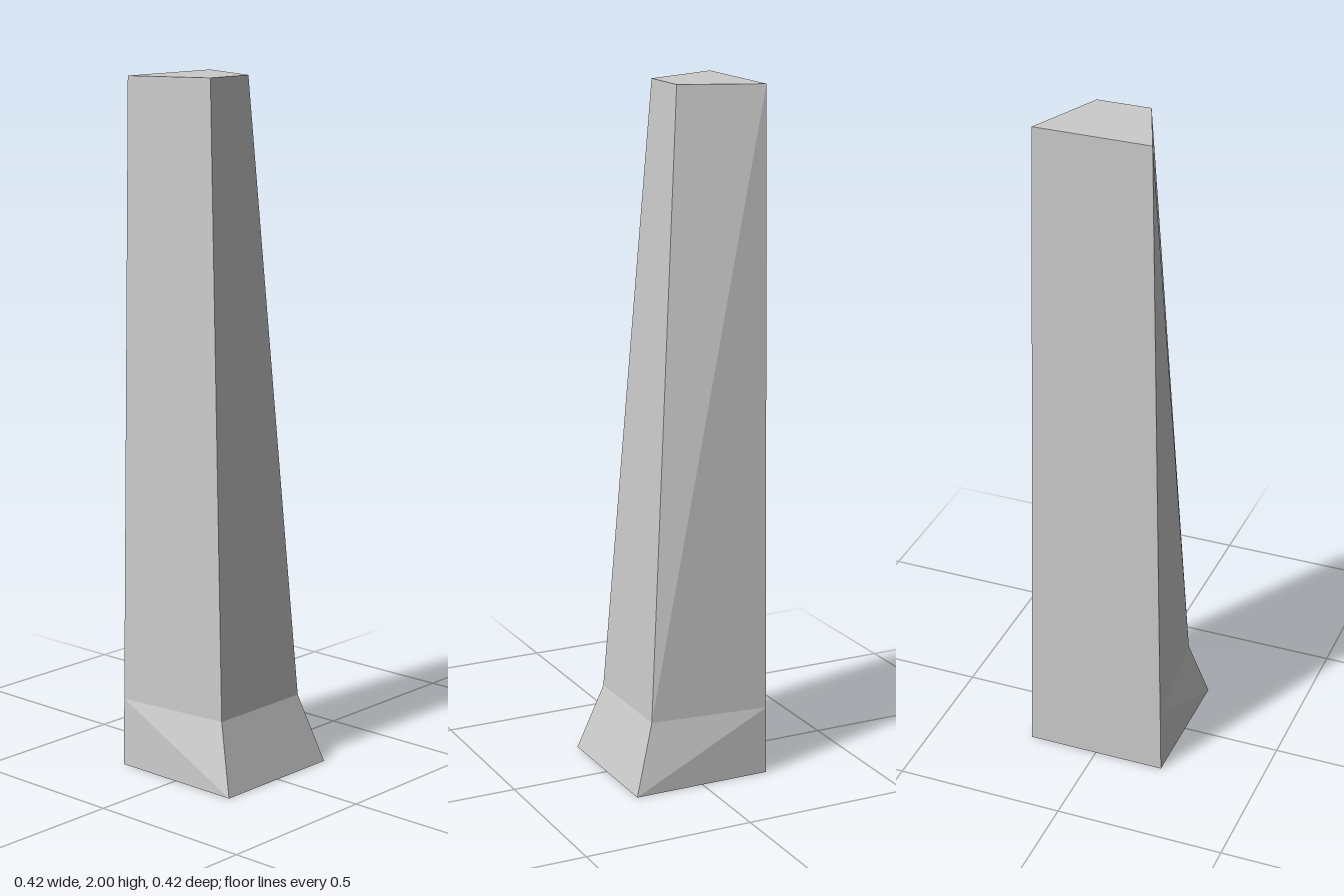
import * as THREE from 'three';

// Horizontal sections of the post: height, half width at front and back, front depth
const BACK_Z = -0.208;
const SECTIONS = [
  { y: 0, front: 0.208, back: 0.208, z: 0.208 },
  { y: 0.2, front: 0.165, back: 0.204, z: 0.141 },
  { y: 2, front: 0.078, back: 0.168, z: 0.02 },
];

// Four corners, counter-clockwise from above, starting at the front
function ring({ y, front, back, z }) {
  return [[-front, y, z], [front, y, z], [back, y, BACK_Z], [-back, y, BACK_Z]];
}

function loftGeometry(rings) {
  const positions = [];
  const tri = (...corners) => corners.forEach((c) => positions.push(...c));

  // Side walls, with the fold running from front-bottom to back-top on both flanks
  for (let r = 0; r < rings.length - 1; r++) {
    const a = rings[r], b = rings[r + 1];
    for (let i = 0; i < 4; i++) {
      const j = (i + 1) % 4;
      if (i === 3) {
        tri(a[i], a[j], b[i]);
        tri(a[j], b[j], b[i]);
      } else {
        tri(a[i], a[j], b[j]);
        tri(a[i], b[j], b[i]);
      }
    }
  }

  // Top and bottom caps
  const top = rings[rings.length - 1], base = rings[0];
  tri(top[0], top[1], top[2]);
  tri(top[0], top[2], top[3]);
  tri(base[0], base[2], base[1]);
  tri(base[0], base[3], base[2]);

  const geometry = new THREE.BufferGeometry();
  geometry.setAttribute('position', new THREE.Float32BufferAttribute(positions, 3));
  geometry.computeVertexNormals();
  return geometry;
}

export function createModel() {
  const group = new THREE.Group();
  group.name = 'taperedPost';

  // Single tapered shaft with a flared foot
  const material = new THREE.MeshStandardMaterial({ color: 0xcccccc, flatShading: true });
  const shaft = new THREE.Mesh(loftGeometry(SECTIONS.map(ring)), material);
  shaft.name = 'shaft';
  group.add(shaft);

  return group;
}
